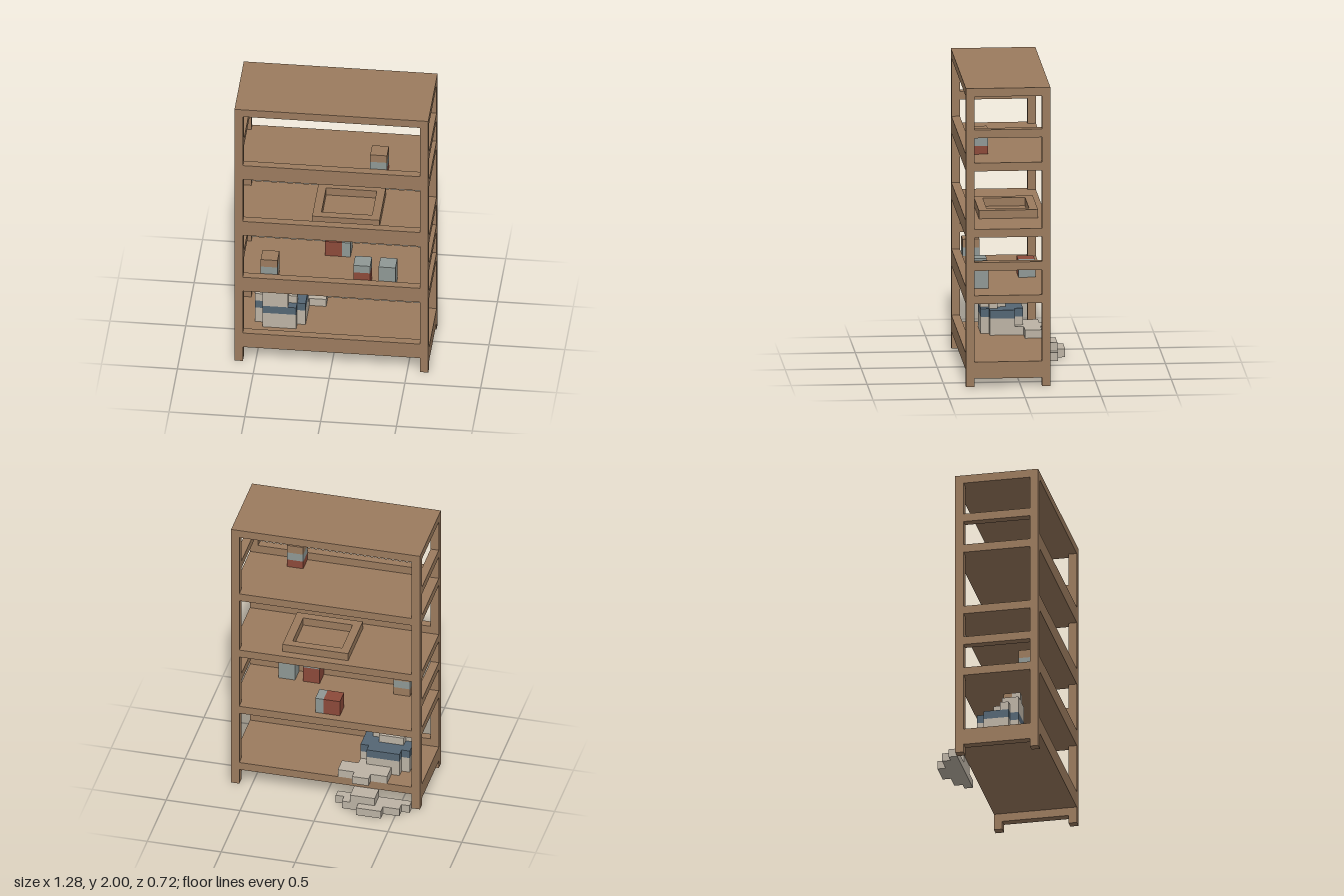
import * as THREE from 'three';

const U = 1 / 18; // one block

function material(name, color) {
  const m = new THREE.MeshStandardMaterial({ color });
  m.name = name;
  return m;
}

export function createModel() {
  const model = new THREE.Group();
  model.name = 'shelfUnit';

  const wood = material('wood', 0x9b7b5e);
  const grey = material('grey', 0x8f9895);
  const red = material('red', 0x8c4a3a);
  const cream = material('cream', 0xbcb3a5);
  const blue = material('slateBlue', 0x546674);

  // Box spanning block coordinates: x 0..23, y 0..36, z 0..13 (back to front)
  function block(parent, name, mat, [x0, x1], [y0, y1], [z0, z1]) {
    const mesh = new THREE.Mesh(
      new THREE.BoxGeometry((x1 - x0) * U, (y1 - y0) * U, (z1 - z0) * U), mat);
    mesh.position.set(((x0 + x1) / 2 - 11.5) * U, (y0 + y1) / 2 * U, ((z0 + z1) / 2 - 6.5) * U);
    mesh.name = name;
    parent.add(mesh);
  }

  function group(name) {
    const g = new THREE.Group();
    g.name = name;
    model.add(g);
    return g;
  }

  // Stepped layer: rows of [x0, x1, z0, z1] sharing one height
  function layer(parent, name, mat, y, rows) {
    for (const [x0, x1, z0, z1] of rows) block(parent, name, mat, [x0, x1], y, [z0, z1]);
  }

  // Frame: posts, top, side rails
  const frame = group('frame');
  for (const x of [[0, 1], [22, 23]]) {
    for (const z of [[3, 4], [12, 13]]) block(frame, 'post', wood, x, [0, 35], z);
    for (const y of [[1, 2], [14, 15], [30, 31]]) block(frame, 'sideRail', wood, x, y, [4, 12]);
  }
  block(frame, 'topPanel', wood, [0, 23], [35, 36], [3, 13]);

  // Shelves with a raised front lip
  for (const y of [2, 10, 18, 26]) {
    const shelf = group('shelf');
    block(shelf, 'board', wood, [0, 23], [y, y + 1], [4, 12]);
    block(shelf, 'backEdge', wood, [1, 22], [y, y + 1], [3, 4]);
    block(shelf, 'frontLip', wood, [1, 22], [y, y + 2], [12, 13]);
  }

  // Jar on the top shelf and jar on the left of the second shelf
  for (const [x, y, mats] of [[16, 27, [red, grey, wood]], [3, 11, [wood, grey, wood]]]) {
    const jar = group('stripedJar');
    mats.forEach((m, i) => block(jar, 'jarBand', m, [x, x + 2], [y + i, y + i + 1], [10, 12]));
  }

  // Remaining containers on the second shelf
  const cans = group('containers');
  block(cans, 'lyingCan', red, [10, 12], [11, 13], [4, 6]);
  block(cans, 'lyingCanLid', grey, [12, 13], [11, 13], [4, 6]);
  block(cans, 'redCan', red, [14, 16], [11, 13], [10, 12]);
  block(cans, 'redCanLid', grey, [14, 16], [13, 14], [10, 12]);
  block(cans, 'greyCan', grey, [17, 19], [11, 14], [10, 12]);

  // Open tray on the third shelf
  const tray = group('tray');
  layer(tray, 'trayRim', wood, [19, 20],
    [[9, 17, 4, 5], [9, 17, 10, 11], [9, 10, 5, 10], [16, 17, 5, 10]]);

  // Round pot with a blue band on the bottom shelf
  const pot = group('pot');
  const round = [[3, 7, 5, 6], [2, 8, 6, 9], [3, 7, 9, 10]];
  layer(pot, 'potBody', cream, [3, 5], round);
  layer(pot, 'potBand', blue, [5, 6], round);

  // Tapered lid with a small knob
  layer(pot, 'lidBase', cream, [6, 7], [[3, 6, 7, 8], [2, 7, 8, 9], [3, 6, 9, 10]]);
  layer(pot, 'lidTop', cream, [7, 8], [[3, 6, 8, 10]]);
  block(pot, 'lidKnob', cream, [4, 5], [8, 9], [9, 10]);
  block(pot, 'lidKnobBack', wood, [4, 5], [8, 9], [8, 9]);

  // Spill running over the back edge and the heap on the floor
  const spill = group('spill');
  layer(spill, 'shelfSpill', cream, [3, 4], [[6, 8, 2, 3], [4, 10, 3, 5], [7, 8, 5, 6]]);
  layer(spill, 'floorHeap', cream, [0, 1], [[4, 7, 0, 1], [2, 9, 1, 2], [1, 10, 2, 3]]);
  layer(spill, 'heapTop', cream, [1, 2], [[5, 8, 1, 3]]);

  return model;
}
